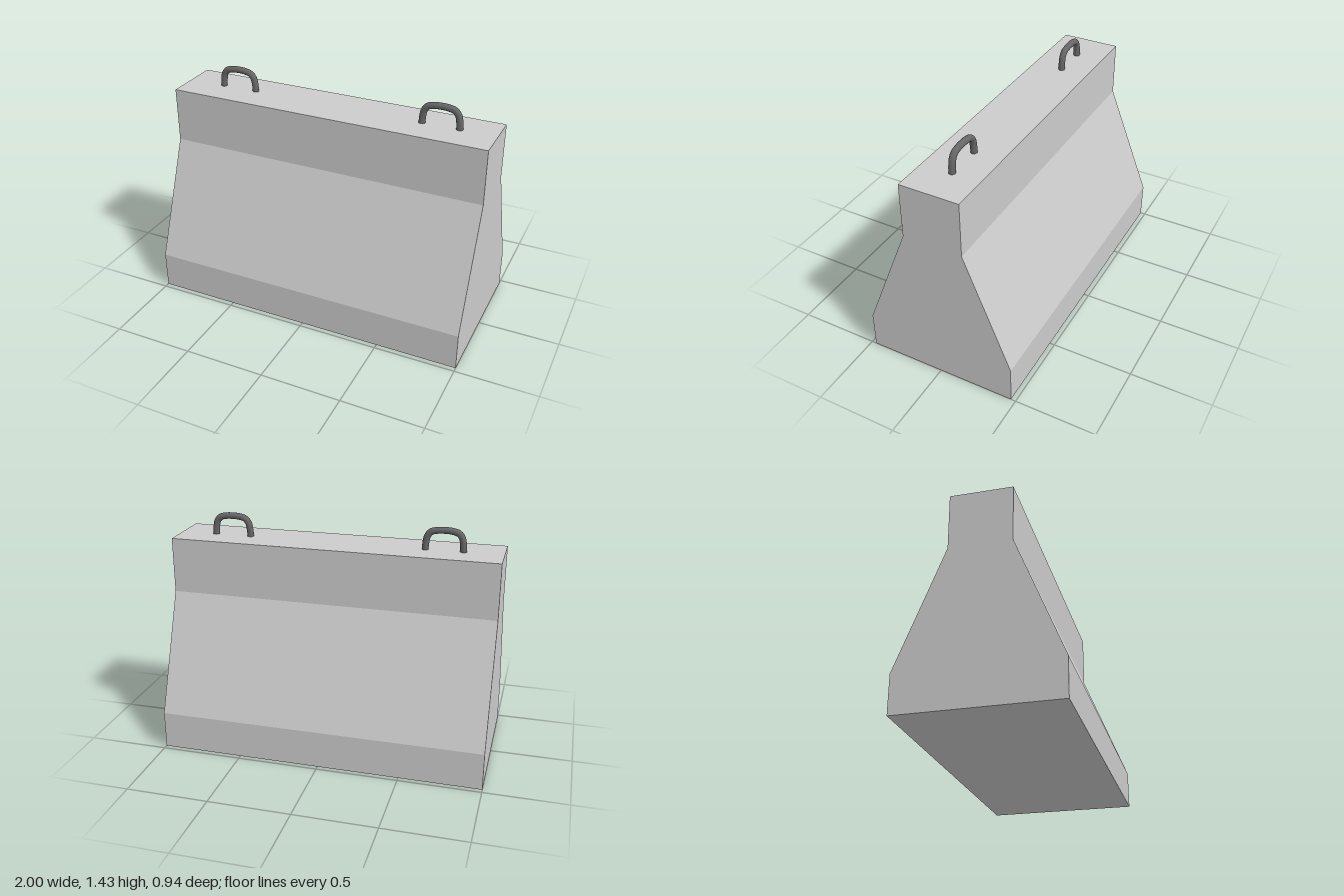
import * as THREE from 'three';

// Concrete barrier: one side profile extruded along x
function makeBarrier(material) {
  const half = [[0.47, 0], [0.47, 0.232], [0.184, 0.947], [0.184, 1.287]];
  const mirrored = half.map(([z, y]) => [-z, y]).reverse();
  const shape = new THREE.Shape([...half, ...mirrored].map(([z, y]) => new THREE.Vector2(z, y)));
  const geometry = new THREE.ExtrudeGeometry(shape, { depth: 2, bevelEnabled: false });
  geometry.translate(0, 0, -1);
  geometry.rotateY(-Math.PI / 2);
  const mesh = new THREE.Mesh(geometry, material);
  mesh.name = 'barrierBody';
  return mesh;
}

// Lifting loop: round bar with splayed legs and a slightly arched top
function makeLoop(name, x, material) {
  const side = [[-0.113, 0], [-0.11, 0.045], [-0.101, 0.085], [-0.08, 0.11], [-0.045, 0.12]];
  const points = [...side, [0, 0.123], ...side.map(([px, y]) => [-px, y]).reverse()];
  const path = new THREE.CatmullRomCurve3(points.map(([px, y]) => new THREE.Vector3(px, y, 0)));
  const loop = new THREE.Mesh(new THREE.TubeGeometry(path, 48, 0.02, 16), material);
  loop.name = name;
  loop.position.set(x, 1.285, -0.007);
  return loop;
}

export function createModel() {
  const concrete = new THREE.MeshStandardMaterial({ color: 0xcccccc });
  const steel = new THREE.MeshStandardMaterial({ color: 0x666666 });
  const group = new THREE.Group();
  group.name = 'concreteBarrier';
  group.add(
    makeBarrier(concrete),
    makeLoop('rightLiftingLoop', -0.649, steel),
    makeLoop('leftLiftingLoop', 0.665, steel),
  );
  return group;
}
